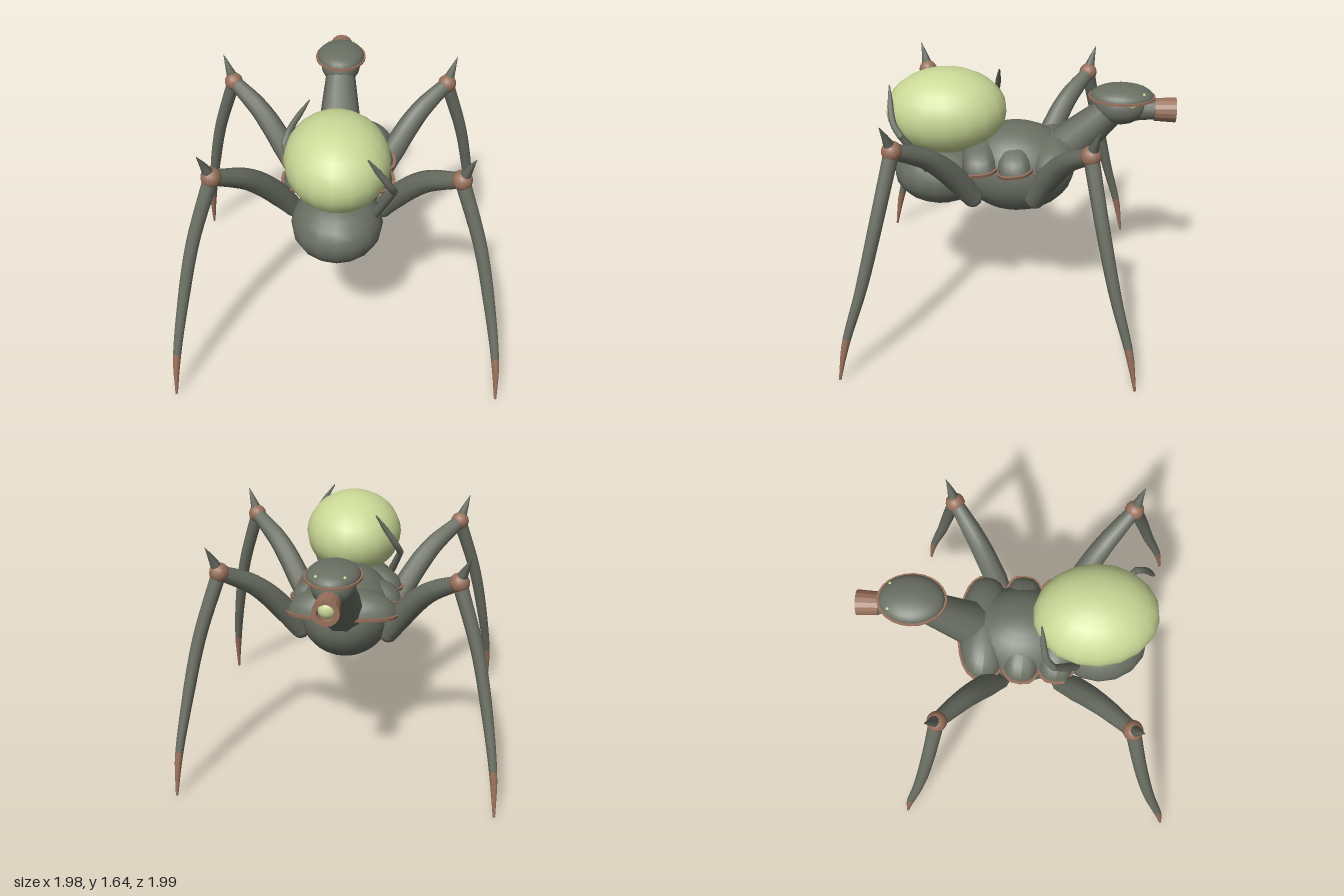
import * as THREE from 'three';

const mat = (name, color, side = THREE.FrontSide) => {
  const m = new THREE.MeshStandardMaterial({ color, side });
  m.name = name;
  return m;
};

export function createModel() {
  const model = new THREE.Group();
  model.name = 'eggCarrier';
  const shell = mat('greyShell', 0x6a6f63);
  const copper = mat('copperTrim', 0x98705b, THREE.DoubleSide);
  const sac = mat('paleGreen', 0xcbd997);

  const add = (name, geo, material, pos = [0, 0, 0], parent = model) => {
    const m = new THREE.Mesh(geo, material);
    m.name = name;
    m.position.set(...pos);
    parent.add(m);
    return m;
  };
  const ball = (name, material, pos, radii, w = 24, h = 16, parent = model) => {
    const m = add(name, new THREE.SphereGeometry(1, w, h), material, pos, parent);
    m.scale.set(...radii);
    return m;
  };

  // Tube along points whose radius follows a list; last part may change colour
  const limb = (name, pts, radii, material, parent = model, split = 1) => {
    const segs = 20, sides = 10;
    const curve = new THREE.CatmullRomCurve3(pts.map(p => new THREE.Vector3(...p)));
    const geo = new THREE.TubeGeometry(curve, segs, 1, sides);
    const p = geo.attributes.position, v = new THREE.Vector3();
    for (let i = 0; i <= segs; i++) {
      const c = curve.getPointAt(i / segs);
      const t = (i / segs) * (radii.length - 1);
      const k = Math.min(Math.floor(t), radii.length - 2);
      const r = THREE.MathUtils.lerp(radii[k], radii[k + 1], t - k);
      for (let j = 0; j <= sides; j++) {
        const n = i * (sides + 1) + j;
        v.fromBufferAttribute(p, n).sub(c).multiplyScalar(r).add(c);
        p.setXYZ(n, v.x, v.y, v.z);
      }
    }
    if (split < 1) {
      const cut = Math.round(segs * split) * sides * 6;
      geo.addGroup(0, cut, 0);
      geo.addGroup(cut, geo.index.count - cut, 1);
      return add(name, geo, [material, copper], [0, 0, 0], parent);
    }
    return add(name, geo, material, [0, 0, 0], parent);
  };

  // Body and abdomen
  ball('thorax', shell, [0, 1.0, -0.02], [0.3, 0.29, 0.37]);
  ball('abdomen', shell, [0, 0.96, 0.47], [0.275, 0.21, 0.3], 16, 12);

  // Overlapping back plates, squared off in plan, each with a copper rim
  const squareOff = (geo, e) => {
    const p = geo.attributes.position;
    for (let i = 0; i < p.count; i++) {
      const x = p.getX(i), z = p.getZ(i), r = Math.hypot(x, z);
      if (r < 1e-6) continue;
      const f = a => Math.sign(a) * Math.pow(Math.abs(a / r), e) * r;
      p.setX(i, f(x));
      p.setZ(i, f(z));
    }
    geo.computeVertexNormals();
    return geo;
  };
  [
    { z: -0.255, rx: 0.335, rz: 0.155, e: 0.85 },
    { z: -0.02, rx: 0.345, rz: 0.125, e: 0.65 },
    { z: 0.195, rx: 0.335, rz: 0.125, e: 0.65 },
  ].forEach((d, i) => {
    const plate = new THREE.Group();
    plate.name = 'backPlate' + (i + 1);
    plate.position.set(0, 1.08, d.z);
    plate.rotation.x = 0.13;
    model.add(plate);
    const dome = squareOff(new THREE.SphereGeometry(1, 24, 8, 0, Math.PI * 2, 0, Math.PI / 2), d.e);
    add('plateDome', dome, shell, [0, 0, 0], plate).scale.set(d.rx, 0.155, d.rz);
    const rim = squareOff(new THREE.CylinderGeometry(1, 0.98, 0.02, 24), d.e);
    add('plateRim', rim, copper, [0, -0.008, 0], plate).scale.set(d.rx + 0.018, 1, d.rz + 0.012);
  });

  // Neck and head
  limb('neck', [[0, 1.06, -0.25], [0, 1.21, -0.41], [0, 1.39, -0.6]], [0.14, 0.135, 0.115, 0.095], shell);
  ball('head', shell, [0, 1.425, -0.66], [0.13, 0.118, 0.16]);
  const cap = add('headCap', new THREE.SphereGeometry(1, 24, 8, 0, Math.PI * 2, 0, Math.PI / 2), shell, [0, 1.485, -0.665]);
  cap.scale.set(0.155, 0.072, 0.195);
  add('headCapRim', new THREE.CylinderGeometry(1, 1, 0.012, 24), copper, [0, 1.482, -0.665]).scale.set(0.166, 1, 0.207);
  for (const s of [1, -1]) {
    ball('sideEye', sac, [s * 0.105, 1.463, -0.725], [0.025, 0.02, 0.025], 12, 8);
    ball('topEye', sac, [s * 0.08, 1.522, -0.795], [0.01, 0.01, 0.01], 10, 6);
  }

  // Hollow snout
  const snoutBase = add('snoutBase', new THREE.CylinderGeometry(0.06, 0.072, 0.14, 16), shell, [0, 1.4, -0.81]);
  snoutBase.rotation.x = -Math.PI / 2;
  const ring = [[0.05, 0.02], [0.05, 0.13], [0.077, 0.13], [0.07, 0.0], [0.0, 0.0]]
    .map(p => new THREE.Vector2(...p));
  const snout = add('snoutTube', new THREE.LatheGeometry(ring, 16).toNonIndexed(), copper, [0, 1.4, -0.87]);
  snout.geometry.computeVertexNormals();
  snout.rotation.x = -Math.PI / 2;
  ball('snoutCore', sac, [0, 1.4, -0.95], [0.05, 0.05, 0.035], 14, 8);

  // Egg sac and the two claws that hold it
  const egg = ball('eggSac', sac, [0, 1.37, 0.42], [0.312, 0.265, 0.378], 18, 14);
  egg.rotation.y = 0.08;
  for (const s of [1, -1]) {
    const at = (x, y, z) => [s * x, y, 0.42 + s * z];
    limb('sacClawLower', [at(0.22, 1.06, 0.1), at(0.28, 1.2, 0.17), at(0.325, 1.32, 0.24)], [0.03, 0.025, 0.02], shell);
    limb('sacClawUpper', [at(0.325, 1.32, 0.24), at(0.295, 1.39, 0.285), at(0.17, 1.585, 0.32)], [0.021, 0.02, 0.017, 0.004], shell);
    ball('sacClawJoint', shell, at(0.325, 1.32, 0.24), [0.021, 0.021, 0.021], 10, 8);
  }

  // Four legs: hip, thigh, knee with spike, long shin with copper tip
  const makeLeg = (side, hipZ, kneeZ, footZ, name) => {
    const leg = new THREE.Group();
    leg.name = name;
    model.add(leg);
    const mix = (a, b, t) => a + (b - a) * t;
    const at = (x, y, z) => [side * x, y, z];
    const knee = at(0.7, 1.39, kneeZ);
    ball('hip', shell, at(0.28, 0.9, hipZ), [0.062, 0.062, 0.062], 14, 10, leg);
    limb('thigh', [at(0.28, 0.9, hipZ), at(0.38, 1.08, mix(hipZ, kneeZ, 0.24)),
      at(0.52, 1.26, mix(hipZ, kneeZ, 0.57)), knee], [0.062, 0.075, 0.07, 0.06, 0.045], shell, leg);
    ball('knee', copper, knee, [0.06, 0.06, 0.06], 14, 10, leg);
    const out = Math.sign(footZ);
    limb('kneeSpike', [at(0.705, 1.41, kneeZ + out * 0.005), at(0.733, 1.485, kneeZ + out * 0.025),
      at(0.762, 1.56, kneeZ + out * 0.05)], [0.038, 0.02, 0.001], shell, leg);
    const shin = [[0.7, 1.39, 0], [0.825, 1.0, 0.26], [0.908, 0.6, 0.55], [0.962, 0.25, 0.86], [0.98, 0.008, 1]]
      .map(([x, y, t]) => at(x, y, mix(kneeZ, footZ, t)));
    limb('shin', shin, [0.045, 0.042, 0.04, 0.037, 0.031, 0.024, 0.008], shell, leg, 0.82);
    ball('footTip', copper, shin[4], [0.009, 0.009, 0.009], 8, 6, leg);
  };
  for (const s of [1, -1]) {
    const n = s > 0 ? 'left' : 'right';
    makeLeg(s, 0.24, 0.64, 0.985, n + 'FrontLeg');
    makeLeg(s, -0.15, -0.47, -0.775, n + 'BackLeg');
  }
  return model;
}
